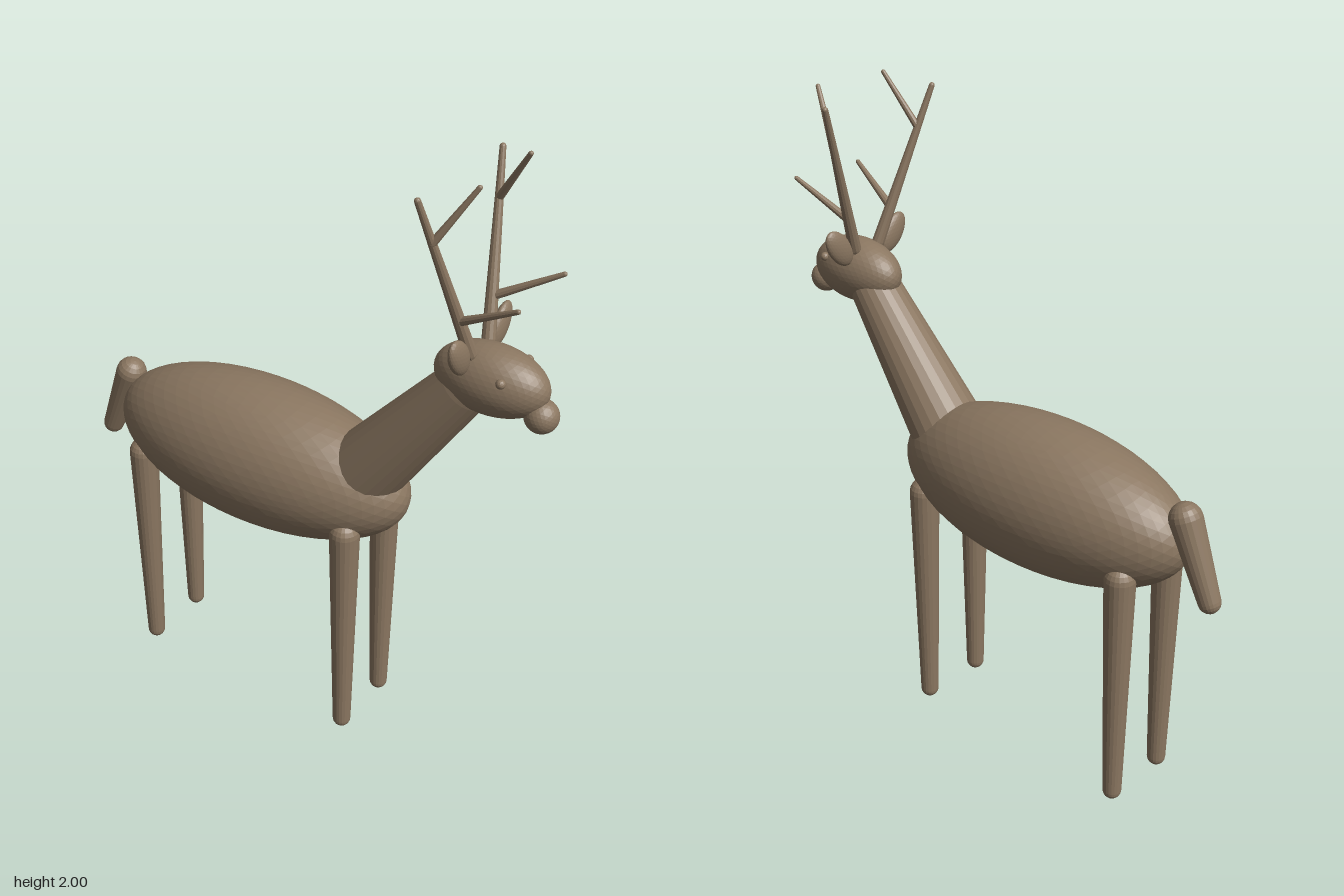
import * as THREE from 'three';

const hide = new THREE.MeshStandardMaterial({ color: 0x8b7761, flatShading: true });
hide.name = 'brown hide';

export function createModel() {
  const root = new THREE.Group();
  root.name = 'deer';

  function add(parent, name, geometry) {
    const mesh = new THREE.Mesh(geometry, hide);
    mesh.name = name;
    parent.add(mesh);
    return mesh;
  }

  // Faceted ellipsoid with the given centre and half sizes
  function ellipsoid(parent, name, centre, half, detail = 7) {
    const mesh = add(parent, name, new THREE.IcosahedronGeometry(1, detail));
    mesh.position.set(...centre);
    mesh.scale.set(...half);
    return mesh;
  }

  // Tapered limb with round ends, running from point a to point b
  function limb(parent, name, a, b, ra, rb, sides = 20) {
    const start = new THREE.Vector3(...a);
    const axis = new THREE.Vector3(...b).sub(start);
    const length = axis.length();
    const profile = [];
    const steps = 5;
    for (let i = 0; i <= steps; i++) {
      const t = (i / steps) * Math.PI / 2;
      profile.push(new THREE.Vector2(ra * Math.sin(t), -ra * Math.cos(t)));
    }
    for (let i = 0; i <= steps; i++) {
      const t = (i / steps) * Math.PI / 2;
      profile.push(new THREE.Vector2(rb * Math.cos(t), length + rb * Math.sin(t)));
    }
    profile[0].x = profile[profile.length - 1].x = 0;
    const mesh = add(parent, name, new THREE.LatheGeometry(profile, sides));
    mesh.position.copy(start);
    mesh.quaternion.setFromUnitVectors(new THREE.Vector3(0, 1, 0), axis.normalize());
    return mesh;
  }

  // Trunk, neck and tail
  ellipsoid(root, 'body', [0, 0.872, -0.165], [0.223, 0.238, 0.536], 9);
  limb(root, 'neck', [0, 0.95, 0.225], [0, 1.345, 0.54], 0.12, 0.08, 24);
  limb(root, 'tail', [0, 0.975, -0.69], [0, 0.745, -0.786], 0.05, 0.034);

  // Head and nose
  ellipsoid(root, 'head', [0, 1.394, 0.618], [0.093, 0.103, 0.173]);
  ellipsoid(root, 'nose', [0, 1.33, 0.775], [0.049, 0.049, 0.049], 4);

  for (const [side, s] of [['left', 1], ['right', -1]]) {
    // Legs
    for (const [end, z] of [['Front', 0.227], ['Back', -0.556]]) {
      limb(root, side + end + 'Leg', [s * 0.113, 0.775, z], [s * 0.111, 0.029, z], 0.047, 0.029);
    }

    // Eye and ear
    ellipsoid(root, side + 'Eye', [s * 0.079, 1.437, 0.685], [0.014, 0.014, 0.014], 2);
    const ear = ellipsoid(root, side + 'Ear', [s * 0.113, 1.496, 0.575], [0.04, 0.07, 0.02], 4);
    ear.rotation.z = -s * 0.64;

    // Antler: a straight beam with two forward tines
    const antler = new THREE.Group();
    antler.name = side + 'Antler';
    root.add(antler);
    limb(antler, 'beam', [s * 0.05, 1.48, 0.575], [s * 0.216, 1.957, 0.489], 0.02, 0.009, 12);
    limb(antler, 'lowerTine', [s * 0.09, 1.59, 0.56], [s * 0.128, 1.69, 0.742], 0.013, 0.007, 10);
    limb(antler, 'upperTine', [s * 0.173, 1.833, 0.512], [s * 0.132, 1.993, 0.613], 0.012, 0.007, 10);
  }

  return root;
}
